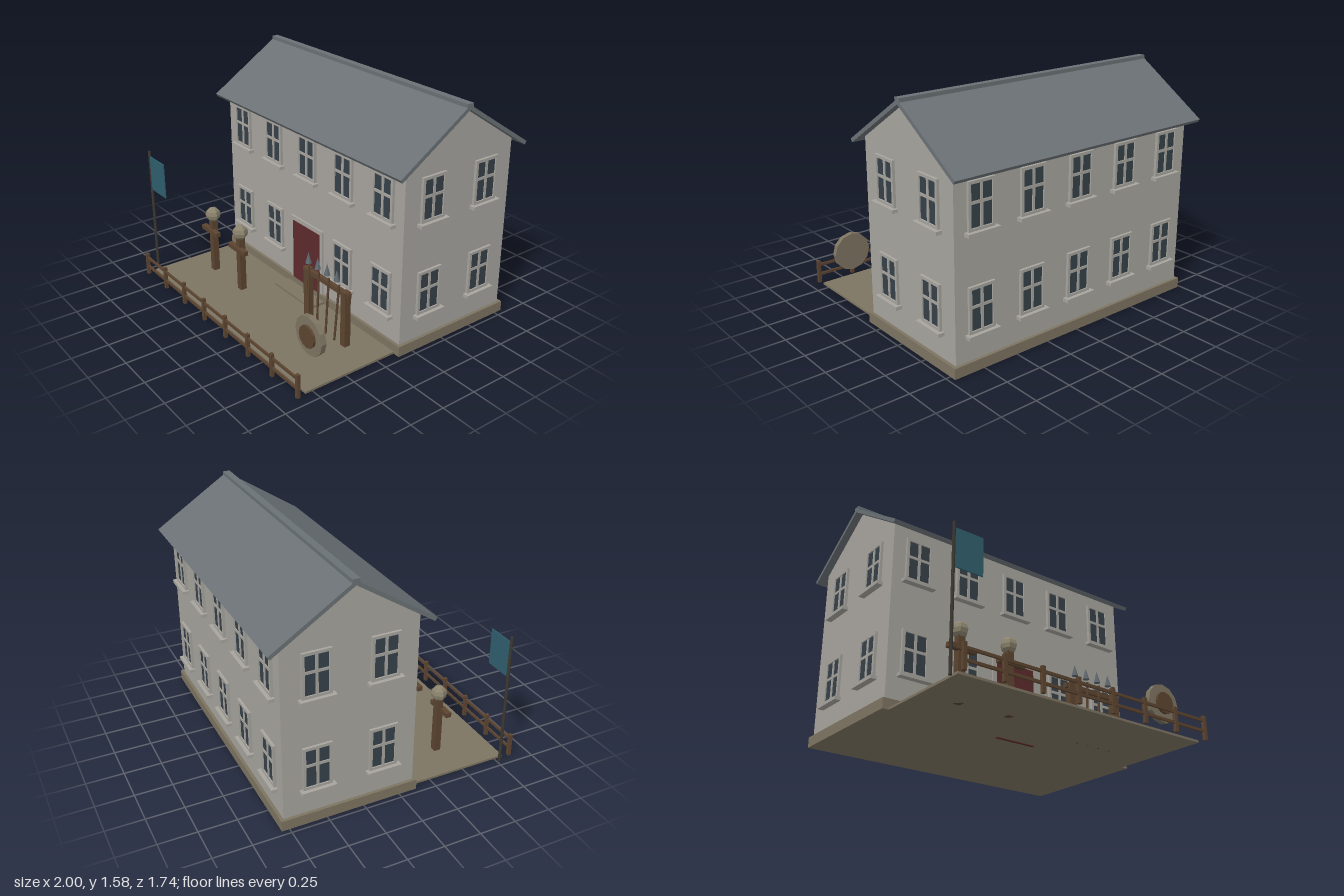
import * as THREE from 'three';

const mat = (name, color) => {
  const m = new THREE.MeshStandardMaterial({ color });
  m.name = name;
  return m;
};

export function createModel() {
  const wall = mat('pale plaster', 0xa7a49e);
  const roofing = mat('slate', 0x6a7175);
  const glass = mat('dark glass', 0x364149);
  const red = mat('dark red paint', 0x5c2a2c);
  const earth = mat('earth stone', 0x7d7461);
  const wood = mat('wood', 0x5c4430);
  const cloth = mat('teal cloth', 0x2f5f6d);
  const bone = mat('bone', 0x8c846e);
  const steel = mat('steel', 0x5f686e);
  const iron = mat('dark pole', 0x3d3831);

  const model = new THREE.Group();
  model.name = 'house';

  const add = (parent, name, geo, material, x = 0, y = 0, z = 0) => {
    const mesh = new THREE.Mesh(geo, material);
    mesh.name = name;
    mesh.position.set(x, y, z);
    parent.add(mesh);
    return mesh;
  };
  // Box given by its limits on each axis
  const box = (parent, name, material, x0, x1, y0, y1, z0, z1) =>
    add(parent, name, new THREE.BoxGeometry(x1 - x0, y1 - y0, z1 - z0), material,
      (x0 + x1) / 2, (y0 + y1) / 2, (z0 + z1) / 2);
  const group = (name, parent = model) => {
    const g = new THREE.Group();
    g.name = name;
    parent.add(g);
    return g;
  };
  // Faceted copy of a geometry
  const faceted = (geo) => {
    const g = geo.toNonIndexed();
    g.computeVertexNormals();
    return g;
  };
  // Section given as [z, y] points, drawn out along x
  const prism = (points, halfLength) => {
    const shape = new THREE.Shape(points.map(([z, y]) => new THREE.Vector2(-z, y)));
    const geo = new THREE.ExtrudeGeometry(shape, { depth: halfLength * 2, bevelEnabled: false });
    return geo.translate(0, 0, -halfLength).rotateY(Math.PI / 2);
  };

  // Grounds and foundation
  box(model, 'yard', earth, -0.93, 0.925, 0.005, 0.02, -0.1, 0.805);
  box(model, 'foundation', earth, -0.972, 0.972, 0.005, 0.075, -0.803, 0.12);
  box(model, 'doorStep', earth, -0.21, 0.205, 0.005, 0.035, 0.1, 0.235);

  // Walls with gables
  const zMid = -0.341;
  add(model, 'walls', prism([[0.1, 0.07], [0.1, 1.25], [zMid, 1.538], [-0.782, 1.25], [-0.782, 0.07]], 0.95), wall);

  // Pitched roof and ridge cap
  add(model, 'roof', prism([
    [0.185, 1.226], [zMid, 1.568], [-0.867, 1.226],
    [-0.853, 1.205], [zMid, 1.538], [0.171, 1.205],
  ], 1), roofing);
  box(model, 'ridgeCap', roofing, -1, 1, 1.55, 1.577, zMid - 0.024, zMid + 0.024);

  // Door with surround
  box(model, 'doorSurround', wall, -0.18, 0.175, 0.07, 0.55, 0.09, 0.114);
  box(model, 'door', red, -0.15, 0.148, 0, 0.52, 0.1, 0.1185);

  // Sash window facing +z, origin on the wall at the sill top
  const addWindow = (x, y, z, turn) => {
    const w = group('window');
    w.position.set(x, y, z);
    w.rotation.y = turn;
    box(w, 'glass', glass, -0.078, 0.078, 0.015, 0.28, 0, 0.009);
    for (const s of [-1, 1]) {
      const jamb = box(w, 'jamb', wall, -0.0095, 0.0095, 0, 0.295, -0.005, 0.018);
      jamb.position.x = s * 0.0855;
    }
    box(w, 'head', wall, -0.077, 0.077, 0.276, 0.295, -0.005, 0.018);
    box(w, 'bottomRail', wall, -0.077, 0.077, 0, 0.017, -0.005, 0.018);
    box(w, 'mullion', wall, -0.009, 0.009, 0.016, 0.277, 0, 0.015);
    box(w, 'crossRail', wall, -0.077, 0.077, 0.157, 0.175, 0, 0.0145);
    box(w, 'sill', wall, -0.115, 0.115, -0.023, 0, -0.005, 0.043);
  };
  for (const y of [0.25, 0.88]) {
    for (const x of [-0.765, -0.382, 0, 0.382, 0.765]) {
      if (x !== 0 || y > 0.5) addWindow(x, y, 0.1, 0);
      addWindow(x, y, -0.782, Math.PI);
    }
    for (const z of [-0.121, -0.56]) {
      addWindow(0.95, y, z, Math.PI / 2);
      addWindow(-0.95, y, z, -Math.PI / 2);
    }
  }

  // Fence along the front
  const fence = group('fence');
  for (let i = 0; i < 8; i++) {
    const x = -0.93 + i * 0.265;
    box(fence, 'fencePost', wood, x - 0.012, x + 0.012, 0.005, 0.166, 0.849, 0.871);
  }
  for (const y of [0.065, 0.135]) box(fence, 'fenceRail', wood, -0.93, 0.925, y - 0.009, y + 0.009, 0.854, 0.866);

  // Flag on its pole
  add(model, 'flagPole', new THREE.CylinderGeometry(0.01, 0.01, 0.93, 8), iron, -0.954, 0.467, 0.77);
  box(model, 'flag', cloth, -0.945, -0.752, 0.645, 0.895, 0.766, 0.774);

  // Posts with crossbars and round heads
  for (const x of [-0.675, -0.315]) {
    const p = group('headPost');
    p.position.x = x;
    box(p, 'post', wood, -0.023, 0.023, 0.005, 0.42, 0.425, 0.47);
    box(p, 'crossbar', wood, -0.098, 0.098, 0.32, 0.352, 0.45, 0.487);
    add(p, 'head', faceted(new THREE.SphereGeometry(0.054, 6, 6)), bone, 0, 0.46, 0.447);
  }

  // Rack with leaning spears
  const rack = group('spearRack');
  for (const x of [0.295, 0.682]) box(rack, 'rackPost', wood, x - 0.023, x + 0.023, 0.005, 0.408, 0.293, 0.338);
  box(rack, 'rackBeam', wood, 0.25, 0.718, 0.37, 0.402, 0.297, 0.327);
  for (let i = 0; i < 4; i++) {
    const x = 0.322 + i * 0.098;
    const shaft = add(rack, 'spearShaft', new THREE.CylinderGeometry(0.008, 0.008, 0.44, 6), wood, x, 0.222, 0.334);
    shaft.rotation.z = -(0.02 + i * 0.028);
    add(rack, 'spearTip', faceted(new THREE.ConeGeometry(0.022, 0.08, 6)), steel, x, 0.499, 0.334);
  }

  // Round shield with boss
  const disc = (r, depth) => faceted(new THREE.CylinderGeometry(r, r, depth, 12).rotateX(Math.PI / 2));
  add(model, 'shield', disc(0.132, 0.036), earth, 0.775, 0.273, 0.654);
  add(model, 'shieldBoss', disc(0.074, 0.02), wood, 0.775, 0.273, 0.679);

  return model;
}
